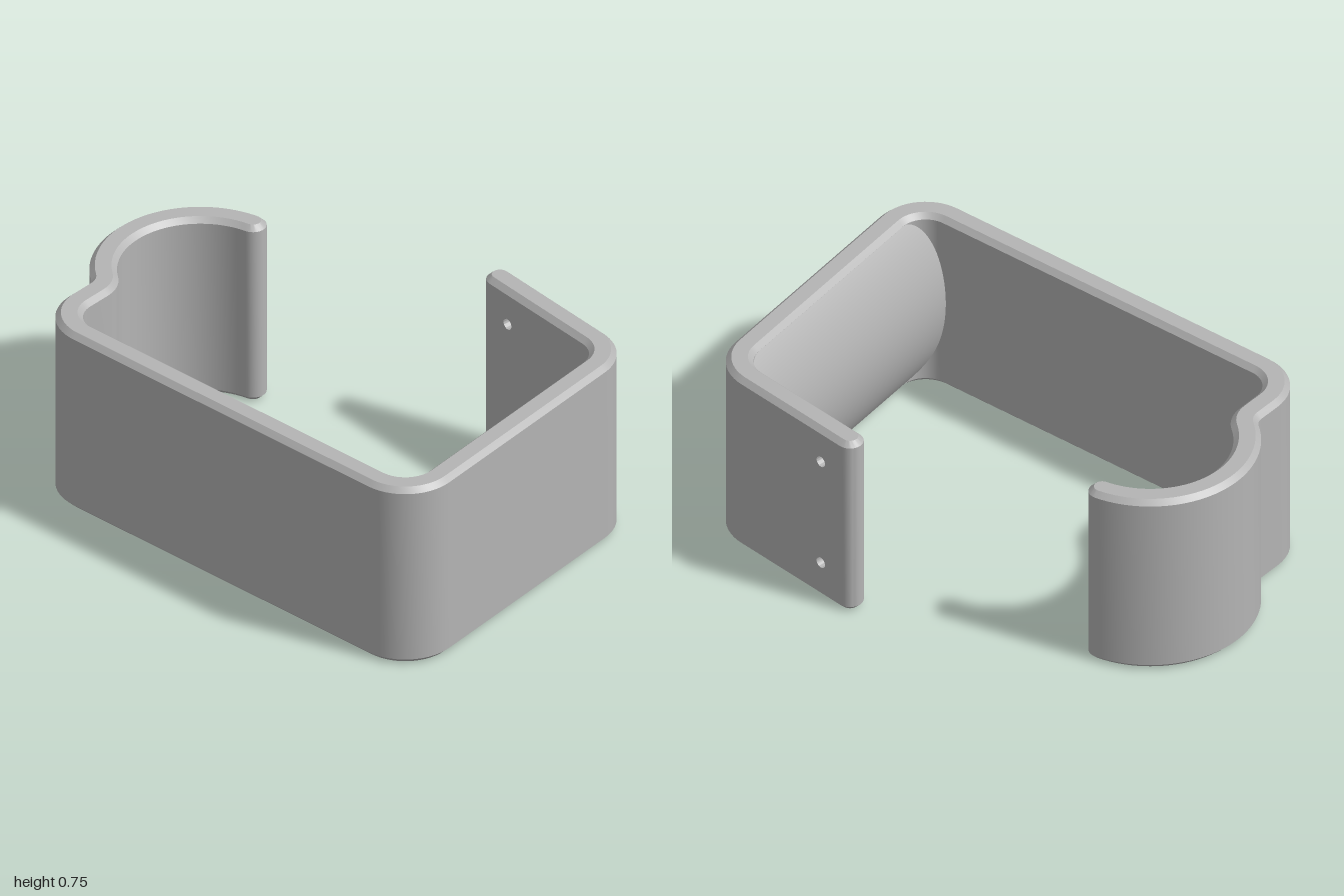
import * as THREE from 'three';
import { toCreasedNormals } from 'three/addons/utils/BufferGeometryUtils.js';

const H = 0.755, W = 0.05, C = 0.02; // strip height, half thickness, chamfer
const SLOPE = 0.07, LEAN = 0.131;    // tilt of the front wall, lean of the arm

// Stations along the strip: position (x, z), tangent, end-rounding angle
function buildPath() {
  const path = [];
  const add = (x, z, tx, tz, round = 0) => path.push({ x, z, tx, tz, round });
  const arc = (cx, cz, r, a0, a1, n) => {
    const s = Math.sign(a1 - a0);
    for (let i = 0; i <= n; i++) {
      const a = a0 + (a1 - a0) * i / n, c = Math.cos(a), d = Math.sin(a);
      add(cx + r * c, cz + r * d, -s * d, s * c);
    }
  };
  const PI = Math.PI;
  arc(-0.045, -0.597, 0.35, -0.16, -2.462, 40);  // hook
  arc(-0.395, -0.88, 0.1, 0.68, PI / 2, 10);     // neck of the hook
  arc(-0.49, -0.63, 0.15, -PI / 2, -PI, 14);     // back corner
  arc(-0.49, 0.8, 0.15, PI, PI / 2 - SLOPE, 14); // front right corner
  arc(0.42, 0.736, 0.15, PI / 2 - SLOPE, LEAN, 14); // front left corner
  const tx = Math.sin(LEAN), tz = -Math.cos(LEAN), tip = { x: 0.635, z: 0.245 };
  const patch = path.length; // interval that receives the drilled panel
  for (const d of [0.16, 0.04, 0]) add(tip.x - tx * d, tip.z - tz * d, tx, tz);

  // Rounded ends
  const first = path[0], last = path[path.length - 1], head = [];
  for (let i = 8; i >= 1; i--) head.push({ ...first, round: -i / 8 * PI / 2 });
  for (let i = 1; i <= 8; i++) path.push({ ...last, round: i / 8 * PI / 2 });
  return { stations: [...head, ...path], patch: patch + head.length, tip, tx, tz };
}

// Chamfered section swept along the path; the side faces at the patch stay open
function sweepStrip({ stations, patch }) {
  const w = W - C;
  const section = [[-w, 0], [w, 0], [W, C], [W, H - C], [w, H], [-w, H], [-W, H - C], [-W, C]];
  const rings = stations.map(s => section.map(([a, y]) => {
    const along = Math.abs(a) * Math.sin(s.round), side = a * Math.cos(s.round);
    return [s.x + s.tx * along + s.tz * side, y, s.z + s.tz * along - s.tx * side];
  }));
  const pos = [];
  for (let i = 0; i < rings.length - 1; i++) {
    for (let j = 0; j < 8; j++) {
      if (i === patch && (j === 2 || j === 6)) continue;
      const k = (j + 1) % 8;
      const a = rings[i][j], b = rings[i][k], c = rings[i + 1][k], d = rings[i + 1][j];
      pos.push(...a, ...b, ...c, ...a, ...c, ...d);
    }
  }
  const g = new THREE.BufferGeometry();
  g.setAttribute('position', new THREE.Float32BufferAttribute(pos, 3));
  return toCreasedNormals(g, 0.5);
}

export function createModel() {
  const group = new THREE.Group();
  group.name = 'hookedBracket';
  const grey = new THREE.MeshStandardMaterial({ color: 0xb4b4b4 });
  grey.name = 'grey';
  const addMesh = (name, geometry) => {
    const mesh = new THREE.Mesh(geometry, grey);
    mesh.name = name;
    group.add(mesh);
    return mesh;
  };

  const path = buildPath();
  addMesh('bentStrip', sweepStrip(path));

  // Arm section with two through screw holes
  const plate = new THREE.Shape();
  plate.moveTo(0, C).lineTo(0.12, C).lineTo(0.12, H - C).lineTo(0, H - C).closePath();
  for (const y of [0.155, 0.61]) {
    plate.holes.push(new THREE.Path().absarc(0.06, y, 0.022, 0, Math.PI * 2, true));
  }
  const plateGeo = new THREE.ExtrudeGeometry(plate, { depth: 2 * W, bevelEnabled: false, curveSegments: 24 });
  plateGeo.translate(0, 0, -W);
  const panel = addMesh('drilledArmPanel', toCreasedNormals(plateGeo, 0.5));
  panel.position.set(path.tip.x - path.tx * 0.16, 0, path.tip.z - path.tz * 0.16);
  panel.rotation.y = Math.PI / 2 - LEAN;

  // Rounded saddle bulging inward from the front wall
  const rise = 0.12, half = H / 2 - C;
  const R = (half * half + rise * rise) / (2 * rise), a = Math.asin(half / R);
  const bulge = new THREE.Shape();
  bulge.moveTo(-0.02, C);
  bulge.absarc(rise - R, H / 2, R, -a, a, false);
  bulge.lineTo(-0.02, H - C);
  const saddleGeo = new THREE.ExtrudeGeometry(bulge, { depth: 1.155, bevelEnabled: false, curveSegments: 32 });
  const saddle = addMesh('curvedSaddle', toCreasedNormals(saddleGeo, 0.5));
  saddle.position.set(-0.613, 0, 0.909);
  saddle.rotation.y = Math.PI / 2 + SLOPE;

  return group;
}
